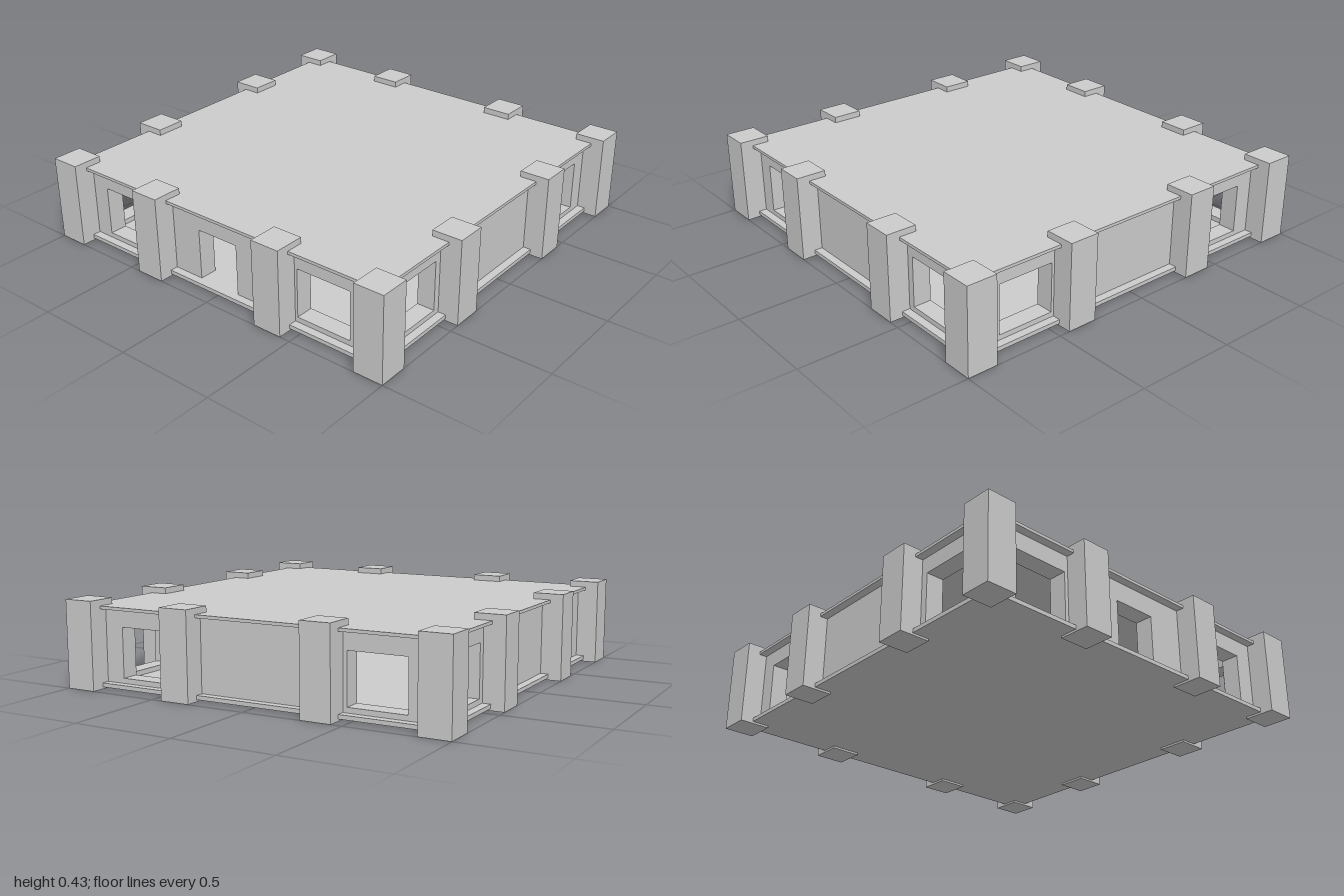
import * as THREE from 'three';

const material = new THREE.MeshStandardMaterial({ color: 0xcccccc, flatShading: true });

const OUTER = 0.895; // outer face of the walls
const THICK = 0.09;
const FLOOR_TOP = 0.03;
const ROOF_BOTTOM = 0.385;

function box(name, w, y0, y1, d, x = 0, z = 0) {
  const mesh = new THREE.Mesh(new THREE.BoxGeometry(w, y1 - y0, d), material);
  mesh.position.set(x, (y0 + y1) / 2, z);
  mesh.name = name;
  return mesh;
}

// Wall panel in the xy plane, its outer face at z = OUTER, with openings [x0, x1, y0, y1]
function wall(name, halfWidth, windows, door) {
  const shape = new THREE.Shape();
  shape.moveTo(-halfWidth, FLOOR_TOP);
  if (door) {
    // The doorway is a notch in the bottom edge
    shape.lineTo(door[0], FLOOR_TOP);
    shape.lineTo(door[0], door[2]);
    shape.lineTo(door[1], door[2]);
    shape.lineTo(door[1], FLOOR_TOP);
  }
  shape.lineTo(halfWidth, FLOOR_TOP);
  shape.lineTo(halfWidth, ROOF_BOTTOM);
  shape.lineTo(-halfWidth, ROOF_BOTTOM);
  shape.closePath();
  for (const [x0, x1, y0, y1] of windows) {
    const hole = new THREE.Path();
    hole.moveTo(x0, y0);
    hole.lineTo(x0, y1);
    hole.lineTo(x1, y1);
    hole.lineTo(x1, y0);
    hole.closePath();
    shape.holes.push(hole);
  }
  const geometry = new THREE.ExtrudeGeometry(shape, { depth: THICK, bevelEnabled: false });
  geometry.translate(0, 0, OUTER - THICK);
  const mesh = new THREE.Mesh(geometry, material);
  mesh.name = name;
  return mesh;
}

export function createModel() {
  const building = new THREE.Group();
  building.name = 'building';

  // Floor and roof slabs, overhanging the walls
  building.add(box('floor', 1.87, 0.01, FLOOR_TOP, 1.87));
  building.add(box('roof', 1.87, ROOF_BOTTOM, 0.4, 1.87));

  // Front and back walls, the front one with a doorway
  const endWindows = [[-0.755, -0.465, 0.055, 0.3], [0.46, 0.75, 0.055, 0.3]];
  building.add(wall('frontWall', OUTER, endWindows, [-0.13, 0.1, 0.285]));
  const back = wall('backWall', OUTER, endWindows);
  back.position.z = -2 * OUTER + THICK;
  building.add(back);

  // Side walls fitted between the front and back walls
  const sideWindows = [[-0.765, -0.48, 0.055, 0.305], [0.48, 0.765, 0.055, 0.305]];
  for (const side of [1, -1]) {
    const mesh = wall(side > 0 ? 'leftWall' : 'rightWall', OUTER - THICK, sideWindows);
    mesh.rotation.y = side * Math.PI / 2;
    building.add(mesh);
  }

  // Square pillars around the edge
  const pillars = new THREE.Group();
  pillars.name = 'pillars';
  const spots = [-0.924, -0.37, 0.37, 0.924];
  spots.forEach((x, i) => spots.forEach((z, j) => {
    if (i % 3 === 0 || j % 3 === 0) pillars.add(box('pillar', 0.152, 0, 0.43, 0.152, x, z));
  }));
  building.add(pillars);

  return building;
}
